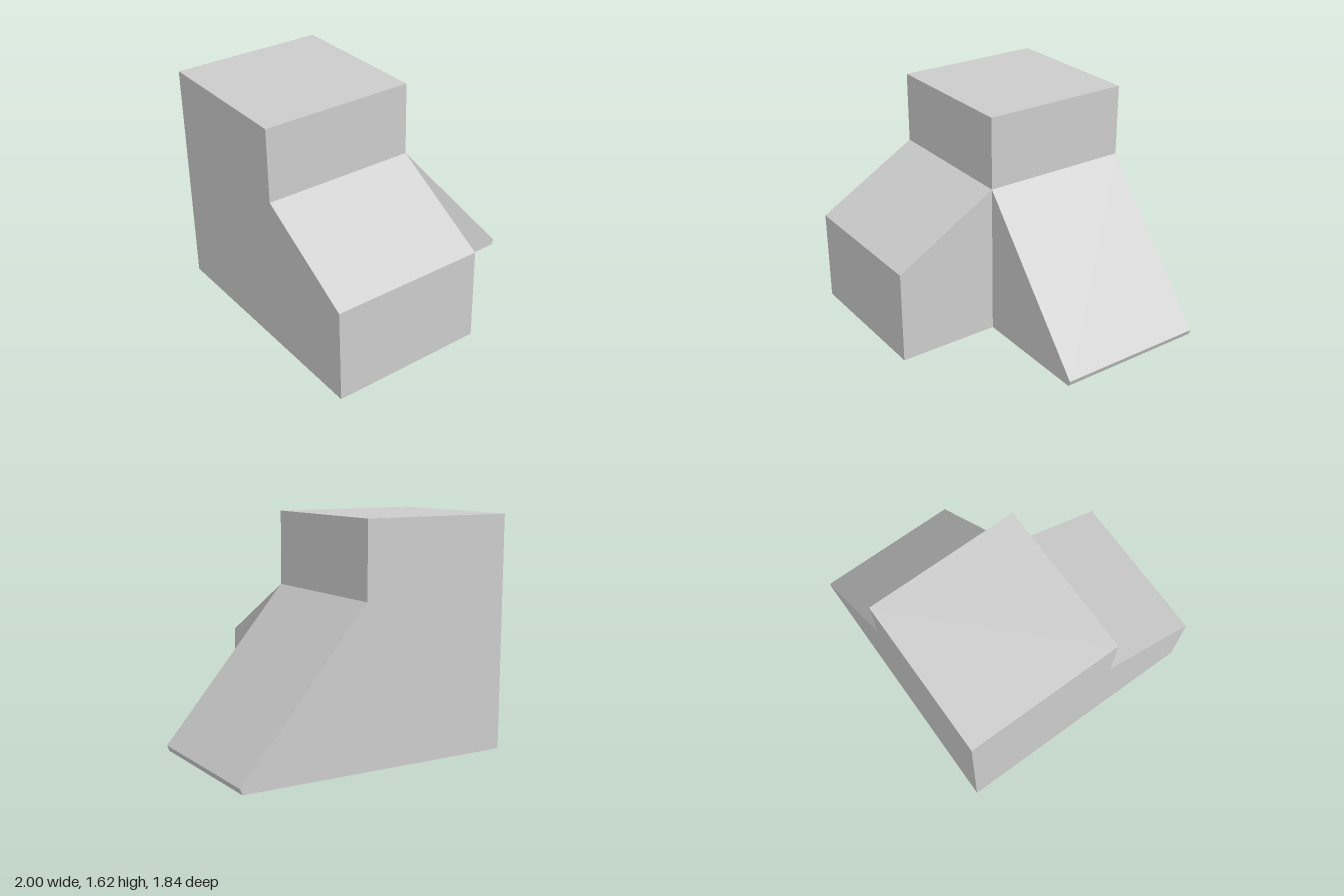
import * as THREE from 'three';

const LEFT = -1, INNER_X = 0.1, BACK = -0.92, INNER_Z = 0.18, FRONT = 0.92;
const TOP = 1.62, EAVE = 1.1;
const SIDE = INNER_X - LEFT; // the tower is square in plan

export function createModel() {
  const group = new THREE.Group();
  const material = new THREE.MeshStandardMaterial({ color: 0xcccccc, flatShading: true });

  const add = (name, geometry) => {
    const mesh = new THREE.Mesh(geometry, material);
    mesh.name = name;
    group.add(mesh);
  };

  // Prism of the tower's width from a side profile
  const prism = (points) => new THREE.ExtrudeGeometry(
    new THREE.Shape(points.map(([x, y]) => new THREE.Vector2(x, y))),
    { depth: SIDE, bevelEnabled: false }
  );

  // Square tower at the back corner
  add('tower', new THREE.BoxGeometry(SIDE, TOP, SIDE)
    .translate(LEFT + SIDE / 2, TOP / 2, BACK + SIDE / 2));

  // Steep wing running down to a small undercut toe
  add('sideWing', prism([
    [INNER_X, 0], [0.985, 0], [1, 0.04], [INNER_X, EAVE],
  ]).translate(0, 0, BACK));

  // Front wing with a sloped roof: profile in z and y, swept along x
  add('frontWing', prism([
    [INNER_Z, 0], [FRONT, 0], [FRONT, 0.67], [INNER_Z, EAVE],
  ]).rotateY(-Math.PI / 2).translate(INNER_X, 0, 0));

  return group;
}
